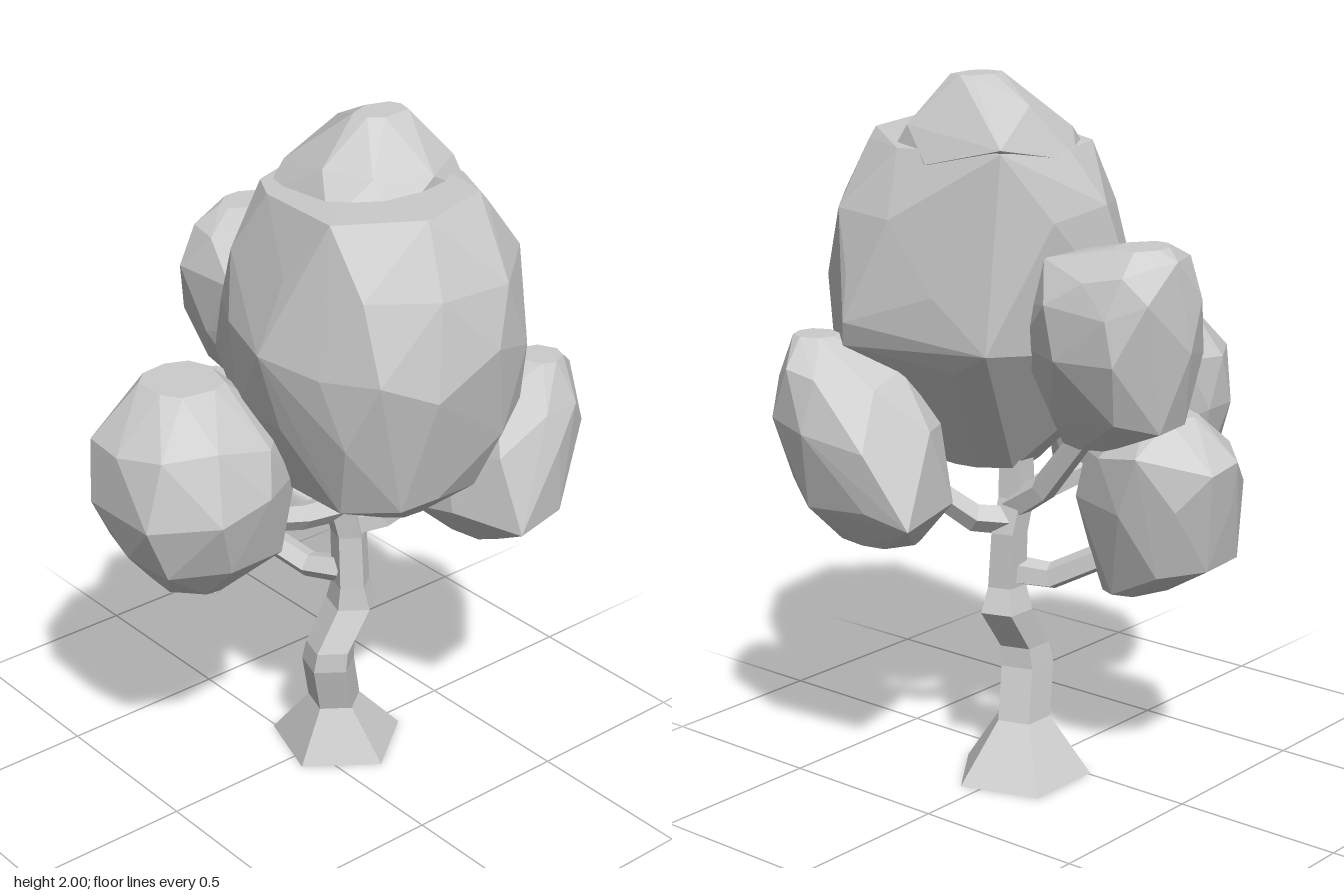
import * as THREE from 'three';
import { ConvexGeometry } from 'three/addons/geometries/ConvexGeometry.js';

const material = new THREE.MeshStandardMaterial({ color: 0xcccccc, flatShading: true });

// Small seeded generator, 0..1
function seeded(seed) {
  let s = seed;
  return () => (s = (s * 16807) % 2147483647) / 2147483647;
}

// Faceted leaf mass from rings of [y, xMin, xMax, zMin, zMax] plus jutting corners
function foliage(seed, sides, rings, corners = []) {
  const rand = seeded(seed * 7919);
  const points = corners.map((c) => new THREE.Vector3(...c));
  rings.forEach(([y, x0, x1, z0, z1], r) => {
    const inner = r > 0 && r < rings.length - 1;
    for (let i = 0; i < sides; i++) {
      const a = ((i + (r % 2) * 0.5 + (rand() - 0.5) * 0.5) / sides) * Math.PI * 2;
      const c = Math.cos(a);
      const s = Math.sin(a);
      // slightly squared ellipse
      const k = (1.04 - 0.06 * rand()) / (Math.abs(c) ** 2.4 + Math.abs(s) ** 2.4) ** (1 / 2.4);
      points.push(new THREE.Vector3(
        (x0 + x1) / 2 + ((x1 - x0) / 2) * k * c,
        y + (inner ? (rand() - 0.5) * 0.06 : 0),
        (z0 + z1) / 2 + ((z1 - z0) / 2) * k * s));
    }
  });
  return new ConvexGeometry(points);
}

// Five-sided limb through stations of [x, y, z, radius], capped at both ends
function limb(stations, axis, sides = 5) {
  const turn = new THREE.Quaternion().setFromUnitVectors(
    new THREE.Vector3(0, 1, 0), new THREE.Vector3(...axis).normalize());
  const positions = [];
  const index = [];
  stations.forEach(([x, y, z, radius]) => {
    for (let i = 0; i < sides; i++) {
      const a = (i / sides) * Math.PI * 2;
      const p = new THREE.Vector3(Math.sin(a) * radius, 0, Math.cos(a) * radius).applyQuaternion(turn);
      positions.push(p.x + x, p.y + y, p.z + z);
    }
  });
  const last = (stations.length - 1) * sides;
  for (let s = 0; s < last; s += sides) {
    for (let i = 0; i < sides; i++) {
      const j = (i + 1) % sides;
      index.push(s + i, s + j, s + sides + j, s + i, s + sides + j, s + sides + i);
    }
  }
  for (let i = 1; i < sides - 1; i++) {
    index.push(0, i + 1, i, last, last + i, last + i + 1);
  }
  const geometry = new THREE.BufferGeometry();
  geometry.setAttribute('position', new THREE.Float32BufferAttribute(positions, 3));
  geometry.setIndex(index);
  const flat = geometry.toNonIndexed();
  flat.computeVertexNormals();
  return flat;
}

export function createModel() {
  const group = new THREE.Group();
  const add = (name, geometry) => {
    const mesh = new THREE.Mesh(geometry, material);
    mesh.name = name;
    group.add(mesh);
  };

  // Crooked trunk with a flared foot
  add('trunk', limb([
    [0.11, 0, -0.005, 0.2], [0.08, 0.16, 0.015, 0.08], [0.04, 0.31, 0.035, 0.08],
    [0.045, 0.37, 0.04, 0.075], [0.125, 0.49, 0.04, 0.078], [0.115, 0.56, 0.045, 0.058],
    [0.115, 0.72, 0.035, 0.055], [0.09, 0.82, 0.03, 0.055], [0.09, 1.0, 0.03, 0.05],
  ], [0, 1, 0]));

  // Branches running into the clumps
  add('rightBranch', limb([
    [0.1, 0.81, 0.03, 0.045], [-0.05, 0.82, 0.02, 0.04], [-0.25, 0.86, -0.02, 0.038],
  ], [-1, 0.1, 0]));
  add('leftBranch', limb([
    [0.1, 0.75, 0.03, 0.045], [0.2, 0.77, 0.09, 0.042], [0.3, 0.87, 0.18, 0.038],
  ], [1, 0.4, 0.7]));
  add('lowerBackBranch', limb([
    [0.1, 0.6, 0.03, 0.045], [0.05, 0.59, -0.07, 0.04], [-0.02, 0.66, -0.2, 0.04],
  ], [-0.4, 0.2, -1]));
  add('upperBackBranch', limb([
    [0.1, 0.79, 0.03, 0.045], [0.1, 0.86, -0.08, 0.04], [0.1, 1.08, -0.26, 0.035],
  ], [0, 0.6, -0.8]));

  // Crown: one large mass with a blunt shoulder, and a peak rising behind it
  add('crown', foliage(3, 10, [
    [0.91, -0.01, 0.2, 0, 0.34], [1.03, -0.19, 0.28, -0.08, 0.5], [1.22, -0.26, 0.43, -0.2, 0.55],
    [1.45, -0.29, 0.48, -0.25, 0.58], [1.65, -0.25, 0.45, -0.25, 0.56], [1.81, -0.17, 0.36, -0.16, 0.45],
  ], [
    [-0.2, 1.83, 0.32], [0.24, 1.84, 0.4], [0, 1.84, 0.47], [-0.32, 1.45, 0.17], [0.15, 1.48, 0.59],
    [-0.05, 1.38, 0.58], [0.51, 1.35, 0.28], [0.49, 1.28, 0.3], [0.38, 1.83, -0.17],
    [-0.1, 1.25, -0.3], [0.42, 1.3, -0.15], [0.02, 0.92, 0],
  ]));
  add('crownPeak', foliage(8, 7, [
    [1.78, -0.14, 0.38, -0.17, 0.34], [1.86, -0.06, 0.35, -0.14, 0.29], [2.0, 0.08, 0.23, 0.05, 0.16],
  ], [[0.38, 1.84, -0.17], [0.18, 1.93, -0.1]]));

  // Smaller clumps around the crown
  add('leftClump', foliage(5, 8, [
    [0.73, 0.34, 0.5, 0.12, 0.36], [0.85, 0.22, 0.6, 0.04, 0.52], [1.05, 0.25, 0.65, 0.06, 0.54],
    [1.2, 0.33, 0.63, 0.15, 0.51], [1.3, 0.43, 0.55, 0.34, 0.46],
  ], [[0.55, 0.82, 0.015], [0.31, 0.85, 0.54]]));
  add('rightClump', foliage(2, 9, [
    [0.73, -0.5, -0.27, -0.15, 0.08], [0.84, -0.6, -0.15, -0.25, 0.18], [1.02, -0.655, -0.11, -0.3, 0.23],
    [1.18, -0.63, -0.13, -0.3, 0.18], [1.305, -0.48, -0.26, -0.2, 0.02],
  ]));
  add('lowerBackClump', foliage(11, 8, [
    [0.57, -0.24, 0.02, -0.36, -0.18], [0.67, -0.3, 0.06, -0.53, -0.12], [0.85, -0.31, 0.11, -0.56, -0.1],
    [0.98, -0.25, 0.12, -0.58, -0.14], [1.1, -0.12, 0.03, -0.48, -0.3],
  ], [[-0.27, 0.59, -0.1]]));
  add('upperBackClump', foliage(6, 8, [
    [1.03, 0.05, 0.2, -0.36, -0.2], [1.12, -0.03, 0.27, -0.53, -0.15], [1.3, -0.1, 0.34, -0.57, -0.1],
    [1.44, -0.12, 0.35, -0.57, -0.13], [1.54, -0.06, 0.31, -0.55, -0.18], [1.59, 0.05, 0.22, -0.51, -0.38],
  ]));

  return group;
}
